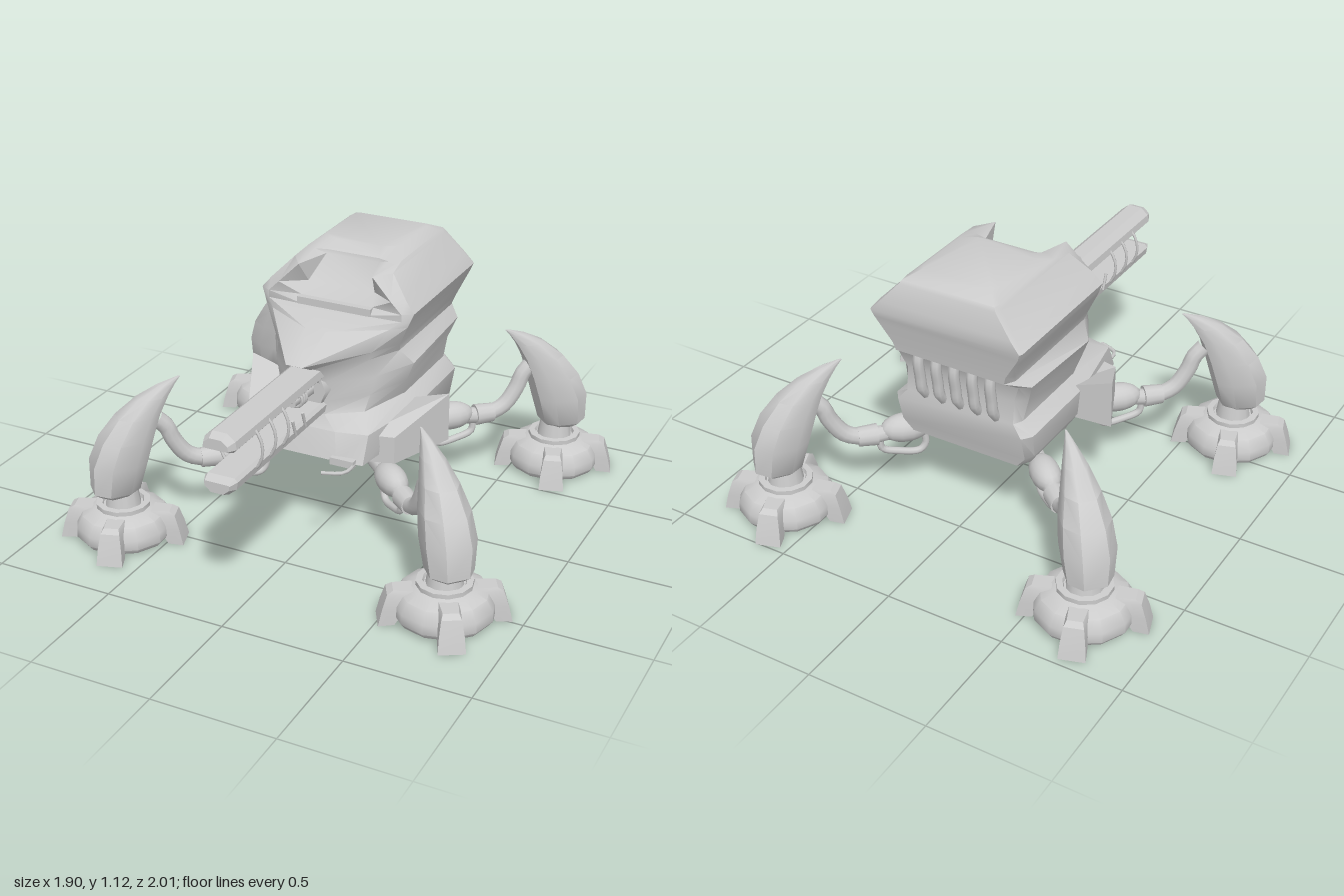
import * as THREE from 'three';
import { toCreasedNormals } from 'three/addons/utils/BufferGeometryUtils.js';

const V = (x, y, z) => new THREE.Vector3(x, y, z);
const material = new THREE.MeshStandardMaterial({ color: 0xcccccc });

function add(parent, name, geometry, x = 0, y = 0, z = 0) {
  const mesh = new THREE.Mesh(geometry, material);
  mesh.name = name;
  mesh.position.set(x, y, z);
  parent.add(mesh);
  return mesh;
}

// Skin over rings stacked upward; each ring runs counterclockwise seen from above.
// The second half of a ring uses the opposite diagonal, so mirrored rings stay symmetric.
function loft(rings, crease = 0.6) {
  const n = rings[0].length, index = [];
  rings.slice(1).forEach((_, i) => {
    for (let j = 0; j < n; j++) {
      const k = (j + 1) % n, a = i * n, b = a + n;
      if (j < n / 2) index.push(a + j, a + k, b + k, a + j, b + k, b + j);
      else index.push(a + j, a + k, b + j, a + k, b + k, b + j);
    }
  });
  const top = (rings.length - 1) * n;
  for (let j = 1; j < n - 1; j++) index.push(0, j + 1, j, top, top + j, top + j + 1);
  const g = new THREE.BufferGeometry().setFromPoints(rings.flat());
  g.setIndex(index);
  return toCreasedNormals(g, crease);
}

function tube(points, radius, segments = 12, sides = 8) {
  return new THREE.TubeGeometry(new THREE.CatmullRomCurve3(points), segments, radius, sides);
}

const mirrorRing = (half) => [...half, ...half.slice().reverse().map((p) => V(-p.x, p.y, p.z))];

function buildBody(root) {
  // y, front z, nose half width, cheek x, cheek z, side x, side front z, side rear z, back x, back z
  const hull = [
    [0.36, 0.14, 0.14, 0.22, 0.1, 0.27, -0.07, -0.4, 0.24, -0.45],
    [0.41, 0.33, 0.14, 0.25, 0.32, 0.3, -0.05, -0.42, 0.28, -0.46],
    [0.52, 0.3, 0.12, 0.25, 0.27, 0.31, -0.05, -0.45, 0.28, -0.49],
    [0.57, 0.27, 0.06, 0.19, 0.18, 0.26, -0.05, -0.44, 0.24, -0.48],
    [0.64, 0.27, 0.06, 0.2, 0.15, 0.28, -0.02, -0.43, 0.24, -0.47],
    [0.72, 0.285, 0.05, 0.22, 0.14, 0.31, -0.02, -0.46, 0.27, -0.49],
    [0.785, 0.34, 0.04, 0.2, 0.15, 0.265, 0.02, -0.5, 0.24, -0.545],
    [0.82, 0.405, 0.035, 0.21, 0.16, 0.275, 0.04, -0.52, 0.25, -0.55],
    [0.9, 0.225, 0.045, 0.255, 0.1, 0.31, 0.05, -0.545, 0.3, -0.565],
    [0.925, 0.07, 0.13, 0.29, 0.065, 0.32, 0.045, -0.56, 0.315, -0.57],
    // The centre of the front leans back here to form the visor recess
    [0.955, 0.045, 0.155, 0.29, 0.065, 0.332, 0.04, -0.565, 0.325, -0.578],
    [1.0, 0, 0.145, 0.245, 0.065, 0.295, 0.03, -0.55, 0.285, -0.572],
    [1.085, -0.1, 0.115, 0.16, 0.055, 0.215, -0.02, -0.515, 0.21, -0.55],
    [1.1, -0.105, 0.115, 0.16, -0.09, 0.205, -0.12, -0.505, 0.2, -0.54],
    [1.13, -0.16, 0.1, 0.13, -0.17, 0.165, -0.2, -0.45, 0.15, -0.475],
  ];
  add(root, 'hull', loft(hull.map(([y, zf, n, cx, cz, w, zm, zr, bx, zb]) => {
    const tilt = y > 0.6 && y < 0.75 ? 0.06 : 0; // waist ridge climbs toward the back
    return mirrorRing([V(n, y, zf), V(cx, y, cz), V(w, y, zm), V(w, y, zr), V(bx, y, zb)]
      .map((p) => V(p.x, p.y - tilt * p.z, p.z)));
  }), 0.65));
  add(root, 'visorSill', new THREE.BoxGeometry(0.32, 0.03, 0.035), 0, 0.94, 0.055);

  // Turning base below the hull
  add(root, 'baseDisc', new THREE.CylinderGeometry(0.27, 0.25, 0.04, 16), 0, 0.345, -0.085);
  add(root, 'basePlate', new THREE.CylinderGeometry(0.23, 0.19, 0.055, 12), 0, 0.302, -0.085);

  // Flared side armour and the small front fittings
  for (const s of [-1, 1]) {
    const ring = (front, tip, inner) => {
      const r = [V(0.2, front, 0.22), V(0.325, front, 0.19), V(0.445, tip, -0.07), V(0.2, inner, -0.09)];
      return s > 0 ? r : r.map((p) => V(-p.x, p.y, p.z)).reverse();
    };
    add(root, 'sideArmor', loft([ring(0.375, 0.39, 0.39), ring(0.49, 0.595, 0.51)], 0.3));
    add(root, 'frontProng', tube([V(s * 0.21, 0.41, 0.28), V(s * 0.21, 0.41, 0.4), V(s * 0.13, 0.41, 0.44)], 0.008, 8, 6));
    add(root, 'frontSlot', new THREE.BoxGeometry(0.1, 0.03, 0.03), s * 0.17, 0.415, 0.33);
  }

  // Row of short exhaust pipes tucked under the back overhang
  for (let i = -2; i <= 2; i++) {
    const x = i * 0.08;
    add(root, 'exhaustPipe', tube([V(x, 0.79, -0.505), V(x, 0.74, -0.515), V(x, 0.67, -0.505),
      V(x, 0.61, -0.495), V(x, 0.57, -0.465)], 0.022));
  }
}

function buildGun(root) {
  const gun = new THREE.Group();
  gun.name = 'gun';
  gun.position.y = 0.677;
  root.add(gun);
  // Two mirrored rails
  for (const s of [-1, 1]) {
    const shape = new THREE.Shape([[-0.055, 0.052], [0.055, 0.052], [0.067, 0.065], [0.062, 0.095],
      [0.03, 0.122], [-0.03, 0.122], [-0.062, 0.095], [-0.067, 0.065]].map(([x, y]) => new THREE.Vector2(x, s * y)));
    add(gun, 'rail', new THREE.ExtrudeGeometry(shape, { depth: 0.7, bevelThickness: 0.035,
      bevelSize: 0.014, bevelOffset: -0.014, bevelSegments: 1 }), 0, 0, 0.265);
  }
  // Bands around the rails
  for (const z of [0.62, 0.72, 0.82]) {
    add(gun, 'band', new THREE.TorusGeometry(0.105, 0.007, 6, 20), 0, 0, z).scale.x = 0.86;
  }
  for (const s of [-1, 1]) for (const z of [0.47, 0.55]) {
    const rod = add(gun, 'brokenBand', new THREE.CylinderGeometry(0.006, 0.006, 0.07, 6), s * 0.075, -0.035, z);
    rod.rotation.x = 0.35;
  }
  // Barrel, collar and coils at the mount
  const turned = (name, r0, r1, len, z, sides) =>
    add(gun, name, new THREE.CylinderGeometry(r0, r1, len, sides), 0, 0, z).rotation.x = Math.PI / 2;
  turned('mount', 0.075, 0.09, 0.07, 0.255, 8);
  turned('barrel', 0.022, 0.03, 0.16, 0.35, 6);
  for (let i = 0; i < 3; i++) add(gun, 'coil', new THREE.TorusGeometry(0.03, 0.007, 6, 12), 0, 0, 0.36 + i * 0.018);
}

function buildFoot(leg, angle, reach, turn) {
  const foot = new THREE.Group();
  foot.name = 'foot';
  foot.position.x = reach;
  foot.rotation.y = angle + turn;
  leg.add(foot);
  const profile = [[0, 0.018], [0.18, 0.018], [0.197, 0.04], [0.195, 0.08], [0.17, 0.125],
    [0.125, 0.145], [0.11, 0.15], [0.11, 0.168], [0.085, 0.17], [0.08, 0.155], [0, 0.155]];
  add(foot, 'footPad', toCreasedNormals(new THREE.LatheGeometry(
    profile.map(([x, y]) => new THREE.Vector2(x, y)), 12), 0.7));
  // Four gripping lugs, broad at the flared toe
  for (let i = 0; i < 4; i++) {
    const ring = (y, r0, r1, w0, w1) => [V(r0, y, w0), V(r1, y, w1), V(r1, y, -w1), V(r0, y, -w0)];
    const lug = add(foot, 'footLug', loft([ring(0.005, 0.19, 0.252, 0.046, 0.052), ring(0.07, 0.15, 0.237, 0.046, 0.047),
      ring(0.13, 0.13, 0.218, 0.042, 0.038), ring(0.145, 0.12, 0.195, 0.036, 0.03)], 0.5));
    lug.rotation.y = i * Math.PI / 2;
  }
}

function buildLeg(root, angle, reach, turn) {
  const leg = new THREE.Group();
  leg.name = 'leg';
  leg.position.z = -0.085;
  leg.rotation.y = -angle;
  root.add(leg);

  // Hip pod, arm and its sleeve
  add(leg, 'hipArm', tube([V(0.15, 0.325, 0), V(0.3, 0.325, 0), V(0.4, 0.32, 0)], 0.035));
  add(leg, 'hipPod', new THREE.SphereGeometry(1, 14, 10), 0.445, 0.32, 0).scale.set(0.105, 0.06, 0.06);
  add(leg, 'arm', tube([V(0.48, 0.315, 0), V(0.6, 0.302, 0), V(0.69, 0.33, 0), V(0.75, 0.41, 0),
    V(0.775, 0.47, 0), V(0.815, 0.51, 0)], 0.035, 16, 10));
  const sleeve = add(leg, 'armSleeve', new THREE.CylinderGeometry(0.045, 0.04, 0.08, 12), 0.6, 0.305, 0);
  sleeve.rotation.z = Math.PI / 2;

  // Handle loop hanging below the hip
  add(leg, 'handle', tube([V(0.37, 0.29, 0), V(0.365, 0.23, 0), V(0.39, 0.2, 0), V(0.48, 0.21, 0),
    V(0.545, 0.235, 0), V(0.55, 0.3, 0)], 0.015, 20));

  // Claw shaped shin: y, inner and outer distance from the ankle, half width
  const claw = [[0.205, -0.035, 0.09, 0.06], [0.23, -0.065, 0.12, 0.09], [0.35, -0.1, 0.118, 0.103],
    [0.45, -0.13, 0.075, 0.094], [0.54, -0.162, 0.005, 0.07], [0.61, -0.2, -0.08, 0.044],
    [0.655, -0.232, -0.165, 0.02], [0.68, -0.255, -0.24, 0.004]];
  add(leg, 'shinClaw', loft(claw.map(([y, a, b, w]) => {
    const at = (t, k, s) => V(reach + a + (b - a) * t, y, s * k * w);
    return [at(1, 0.5, 1), at(1, 0.5, -1), at(0.7, 1, -1), at(0.25, 0.9, -1), at(0, 0.45, -1),
      at(0, 0.45, 1), at(0.25, 0.9, 1), at(0.7, 1, 1)];
  }), 0.75));
  add(leg, 'ankle', new THREE.CylinderGeometry(0.055, 0.075, 0.12, 12), reach, 0.2, 0);
  buildFoot(leg, angle, reach, turn);
}

export function createModel() {
  const root = new THREE.Group();
  root.name = 'walkingTurret';
  buildBody(root);
  buildGun(root);
  // Direction, ankle distance and foot turn of each leg
  buildLeg(root, 0.747, 0.97, 0.52);
  buildLeg(root, Math.PI - 0.782, 0.965, 0.32);
  buildLeg(root, Math.PI + 0.743, 0.94, 0.32);
  buildLeg(root, -0.79, 0.94, 0.32);
  return root;
}
